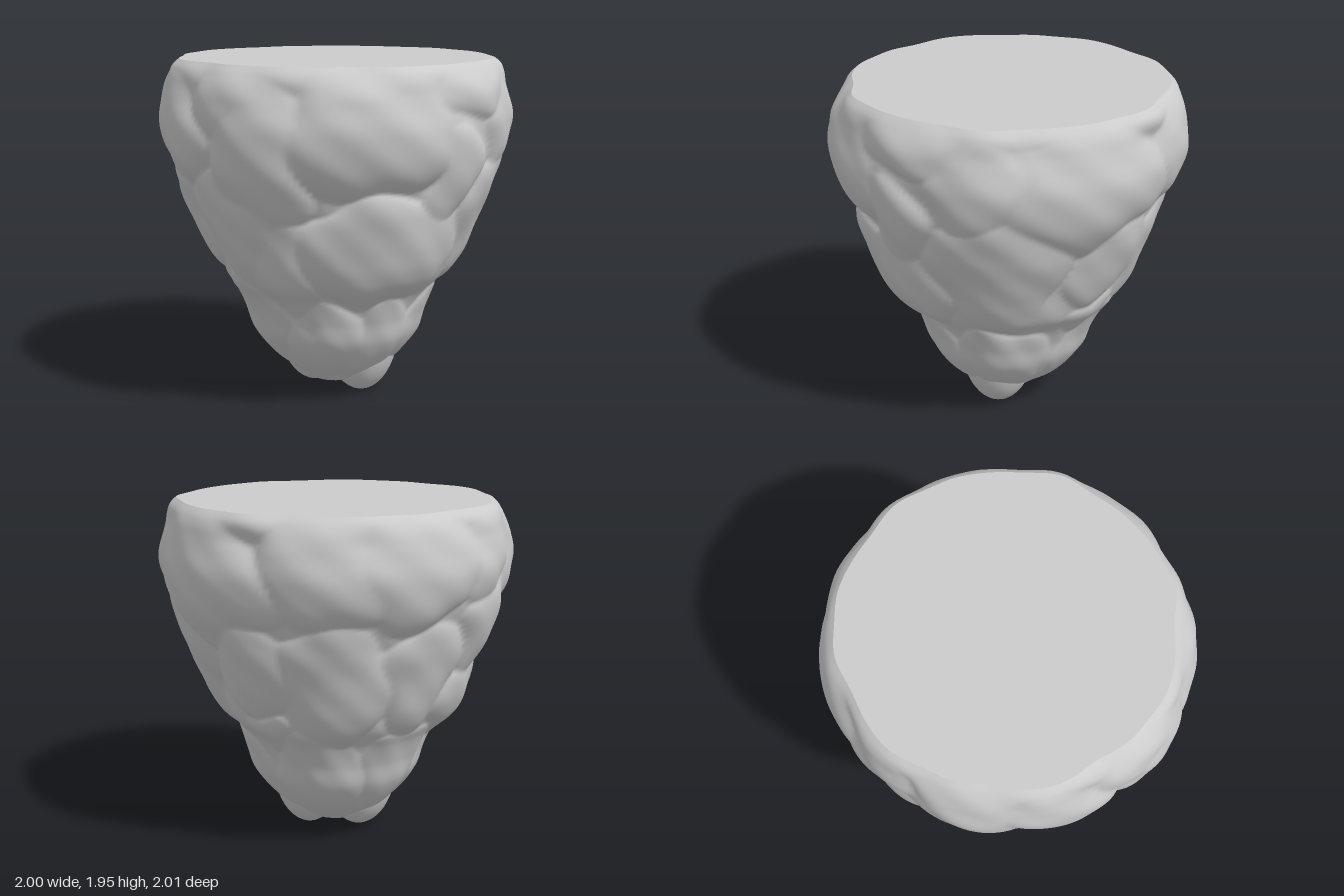
import * as THREE from 'three';

// Boulders bulging from the rock: [angle in degrees from front (+z) towards +x, height, half angle, half height, reach]
const LUMPS = [
  // front
  [5, 0.94, 46, 0.34, 1.03], [-6, 1.6, 34, 0.37, 1.01], [30, 1.32, 14, 0.32, 1.0],
  [-45, 1.45, 20, 0.5, 1.02], [-42, 0.85, 20, 0.34, 1.0], [40, 1.8, 24, 0.16, 1.0],
  // left side (+x)
  [98, 1.57, 40, 0.38, 1.015], [66, 1.1, 30, 0.45, 1.02], [62, 1.6, 20, 0.3, 1.01],
  [118, 1.08, 25, 0.29, 1.0], [117, 0.7, 18, 0.13, 0.97], [150, 1.65, 25, 0.33, 1.02],
  // back
  [180, 1.65, 30, 0.33, 1.02], [150, 1.0, 28, 0.4, 1.0], [190, 1.03, 22, 0.34, 1.0],
  [212, 1.68, 20, 0.27, 1.0], [220, 1.25, 19, 0.31, 1.02], [230, 0.85, 30, 0.27, 1.02],
  // right side (-x)
  [246, 1.62, 23, 0.34, 1.02], [262, 1.1, 22, 0.32, 1.02], [275, 1.55, 21, 0.38, 1.01],
  [298, 1.05, 24, 0.4, 1.02], [308, 1.72, 18, 0.25, 1.0],
  // lower boulders
  [-25, 0.36, 36, 0.28, 1.0], [20, 0.33, 32, 0.31, 1.0], [66, 0.36, 36, 0.3, 1.03],
  [140, 0.4, 36, 0.35, 1.0], [195, 0.38, 30, 0.36, 1.0], [248, 0.4, 34, 0.33, 1.01],
  [288, 0.52, 28, 0.28, 1.0],
];

// Outer silhouette as radius and height
const PROFILE = [
  [0.01, 0.05], [0.15, 0.07], [0.25, 0.13], [0.36, 0.22], [0.465, 0.36], [0.52, 0.5],
  [0.59, 0.62], [0.68, 0.72], [0.73, 0.82], [0.775, 0.95], [0.82, 1.07], [0.885, 1.22],
  [0.955, 1.4], [0.99, 1.6], [0.98, 1.74], [0.965, 1.84], [0.93, 1.9], [0.88, 1.945],
].map(([r, y]) => new THREE.Vector2(r, y));

const SEGS = 220;
const ROWS = 150;

// Share of the silhouette radius reached at an angle and height
function relief(deg, y) {
  const a = deg * Math.PI / 180;
  const rim = THREE.MathUtils.smoothstep(y, 1.78, 1.94);
  // bend the boulder outlines a little so they look broken, not round
  const wobDeg = deg + 3 * Math.sin(y * 11 + 2 * Math.sin(3 * a));
  const wobY = y + 0.03 * Math.sin(9 * a + 4 * y);
  const base = 0.92 + 0.03 * THREE.MathUtils.smoothstep(y, 1.2, 1.5);
  let k = base;
  for (const [d, h, w, hh, reach] of LUMPS) {
    const da = ((wobDeg - d + 540) % 360 + 360) % 360 - 180;
    const q = (da / w) ** 2 + ((wobY - h) / hh) ** 2;
    if (q < 1) k = Math.max(k, base - 0.03 + (reach - base + 0.03) * Math.sqrt(1 - q));
  }
  // the rim is fuller and uneven, reaching furthest at the back
  const edge = 1 - 0.015 * Math.cos(a) + 0.01 * Math.sin(a) + 0.012 * Math.sin(7 * a) + 0.008 * Math.sin(12 * a + 1);
  return THREE.MathUtils.lerp(k, edge, rim) + 0.006 * Math.sin(13 * a + 7 * y) * Math.sin(17 * y + 5 * a);
}

function meshOf(name, positions, index, material) {
  const geometry = new THREE.BufferGeometry();
  geometry.setAttribute('position', new THREE.Float32BufferAttribute(positions, 3));
  geometry.setIndex(index);
  geometry.computeVertexNormals();
  const mesh = new THREE.Mesh(geometry, material);
  mesh.name = name;
  return mesh;
}

export function createModel() {
  const group = new THREE.Group();
  group.name = 'floatingRock';
  const material = new THREE.MeshStandardMaterial({ color: 0xcccccc, roughness: 0.9 });

  // Rock sides: rings of the silhouette pushed in and out by the boulders
  const rows = new THREE.SplineCurve(PROFILE).getSpacedPoints(ROWS);
  const positions = [];
  const index = [];
  rows.forEach((p, j) => {
    for (let i = 0; i < SEGS; i++) {
      const a = i / SEGS * Math.PI * 2;
      const r = p.x * relief(i / SEGS * 360, p.y);
      positions.push(r * Math.sin(a), p.y, r * Math.cos(a));
      if (j < ROWS) {
        const n = (i + 1) % SEGS;
        const b = j * SEGS;
        index.push(b + i, b + n, b + SEGS + n, b + i, b + SEGS + n, b + SEGS + i);
      }
    }
  });
  group.add(meshOf('rockSides', positions, index, material));

  // Flat top: a fan over the last ring
  const top = positions.slice(ROWS * SEGS * 3);
  top.push(0, 1.95, 0);
  const fan = [];
  for (let i = 0; i < SEGS; i++) fan.push(SEGS, i, (i + 1) % SEGS);
  group.add(meshOf('flatTop', top, fan, material));

  // Two blunt lobes at the bottom, running up into the rock
  for (const [x, y, z, r, h] of [[0.125, 0.37, 0.1, 0.22, 0.37], [-0.09, 0.37, -0.11, 0.22, 0.35]]) {
    const lobe = new THREE.Mesh(new THREE.SphereGeometry(1, 32, 24), material);
    lobe.name = 'bottomLobe';
    lobe.scale.set(r, h, r);
    lobe.position.set(x, y, z);
    group.add(lobe);
  }
  return group;
}
